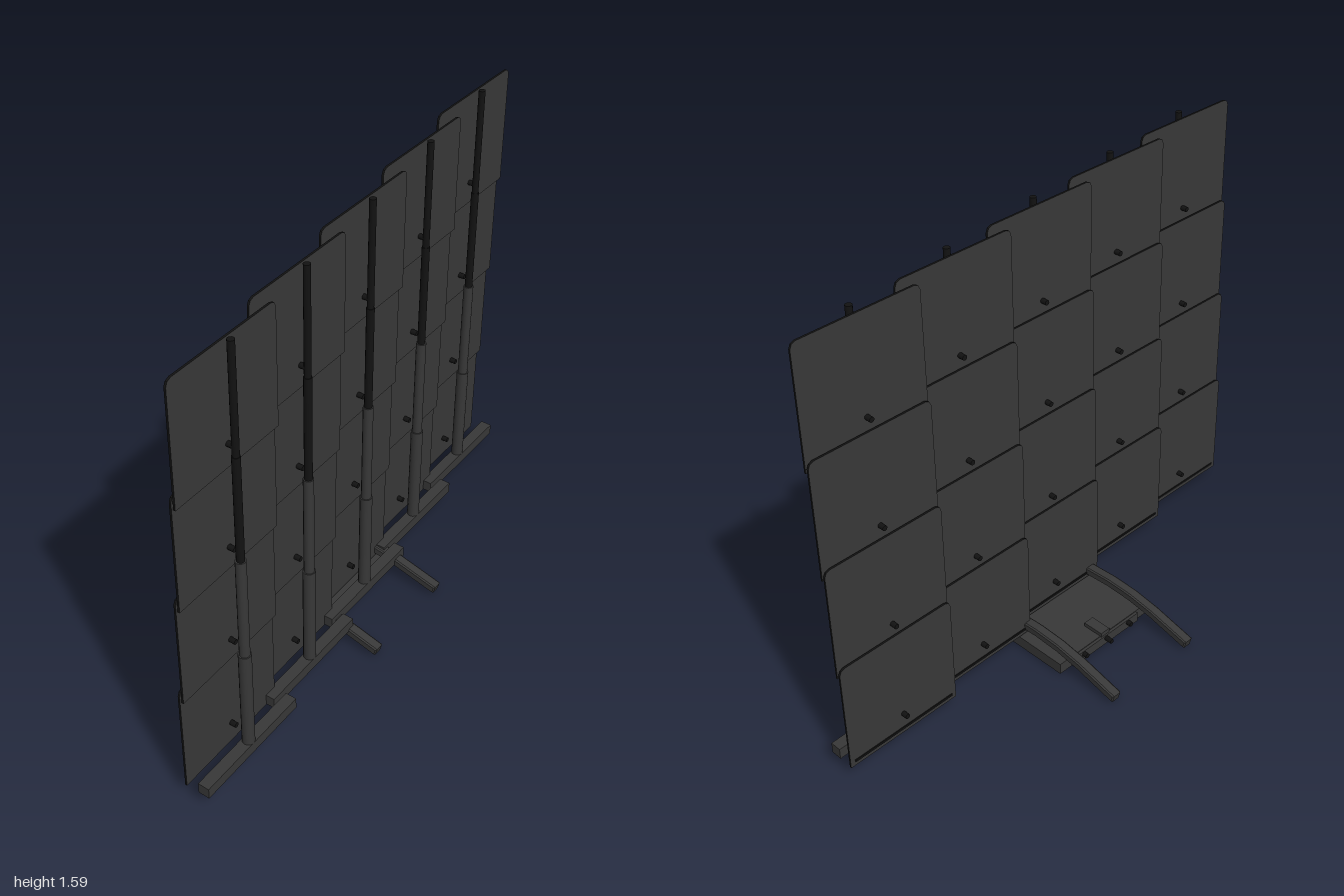
import * as THREE from 'three';

const mat = (name, color) => {
  const m = new THREE.MeshStandardMaterial({ color });
  m.name = name;
  return m;
};

export function createModel() {
  const model = new THREE.Group();
  model.name = 'panelShield';
  const grey = mat('charcoal', 0x383838);
  const dark = mat('black', 0x121212);

  const add = (parent, name, geometry, material, x = 0, y = 0, z = 0) => {
    const mesh = new THREE.Mesh(geometry, material);
    mesh.name = name;
    mesh.position.set(x, y, z);
    parent.add(mesh);
    return mesh;
  };

  // Panel outline: square foot, clipped upper corners
  const W = 0.2175, H = 0.41, C = 0.02, T = 0.007;
  const outline = new THREE.Shape([
    [-W, 0], [W, 0], [W, H - C], [W - 0.006, H - 0.006], [W - C, H],
    [-W + C, H], [-W + 0.006, H - 0.006], [-W, H - C],
  ].map(([x, y]) => new THREE.Vector2(x, y)));
  const panelGeo = new THREE.ExtrudeGeometry(outline, { depth: T, bevelEnabled: false });
  panelGeo.translate(0, 0, -T / 2);

  const knobGeo = new THREE.CylinderGeometry(0.009, 0.009, 0.05, 10).rotateX(Math.PI / 2);
  const barGeo = new THREE.BoxGeometry(0.435, 0.04, 0.04);
  const stripGeo = new THREE.BoxGeometry(0.4, 0.008, 0.004);

  // Telescoping mast stages: bottom, top, radius
  const stages = [
    [0.08, 0.48, 0.021, grey], [0.48, 0.85, 0.017, grey],
    [0.85, 1.22, 0.013, dark], [1.22, 1.59, 0.011, dark],
  ];

  // Five staggered columns, each with bar, mast and four overlapping panels
  for (let i = 0; i < 5; i++) {
    const column = new THREE.Group();
    column.name = 'column' + (i + 1);
    column.position.set((i - 2) * 0.3912, 0, 0.285 - 0.0538 * i);
    model.add(column);

    add(column, 'footBar', barGeo, grey, 0, 0.083, 0);
    stages.forEach(([y0, y1, r, m], s) => {
      add(column, 'mastStage' + (s + 1), new THREE.CylinderGeometry(r, r, y1 - y0, 12), m, 0, (y0 + y1) / 2, 0);
    });

    for (let r = 0; r < 4; r++) {
      const y = 0.06 + 0.37 * r, z = -0.069 + 0.0133 * r;
      add(column, 'panel' + (r + 1), panelGeo, [grey, dark], 0, y, z);
      add(column, 'panelBolt' + (r + 1), knobGeo, dark, 0, y + 0.08, z);
    }
    add(column, 'bottomStrip', stripGeo, dark, 0, 0.08, -0.074);
  }

  // Base box with handle and rear knobs
  const base = new THREE.Group();
  base.name = 'base';
  model.add(base);
  add(base, 'baseBox', new THREE.BoxGeometry(0.43, 0.042, 0.265), grey, 0, 0.026, -0.0025);
  add(base, 'backLip', new THREE.BoxGeometry(0.32, 0.036, 0.014), grey, 0, 0.026, -0.138);
  add(base, 'handle', new THREE.BoxGeometry(0.04, 0.016, 0.08), grey, 0, 0.053, -0.1);
  for (const x of [-0.11, 0, 0.11]) {
    const len = x === 0 ? 0.03 : 0.02;
    const geo = new THREE.CylinderGeometry(0.009, 0.009, len, 10).rotateX(Math.PI / 2);
    add(base, 'rearKnob', geo, dark, x, 0.033, -0.142 - len / 2);
  }

  // Arched legs: side profile along z, swept across x
  const arch = [[-0.36, 0.027], [-0.2, 0.069], [-0.1, 0.086], [0, 0.091], [0.1, 0.086], [0.2, 0.069], [0.36, 0.027]];
  const half = 0.015;
  const side = (k) => arch.map(([z, y]) => {
    const lean = z * 0.7;
    return new THREE.Vector2(z + k * half * Math.sin(lean), y + k * half * Math.cos(lean));
  });
  const legShape = new THREE.Shape([...side(-1), ...side(1).reverse()]);
  const legGeo = new THREE.ExtrudeGeometry(legShape, {
    depth: 0.028, bevelEnabled: true, bevelSize: 0.004, bevelThickness: 0.005, bevelOffset: -0.004, bevelSegments: 1,
  });
  legGeo.translate(0, 0, -0.014).rotateY(-Math.PI / 2);
  for (const s of [-1, 1]) add(model, s > 0 ? 'leftLeg' : 'rightLeg', legGeo, grey, s * 0.18, 0, 0);

  return model;
}
